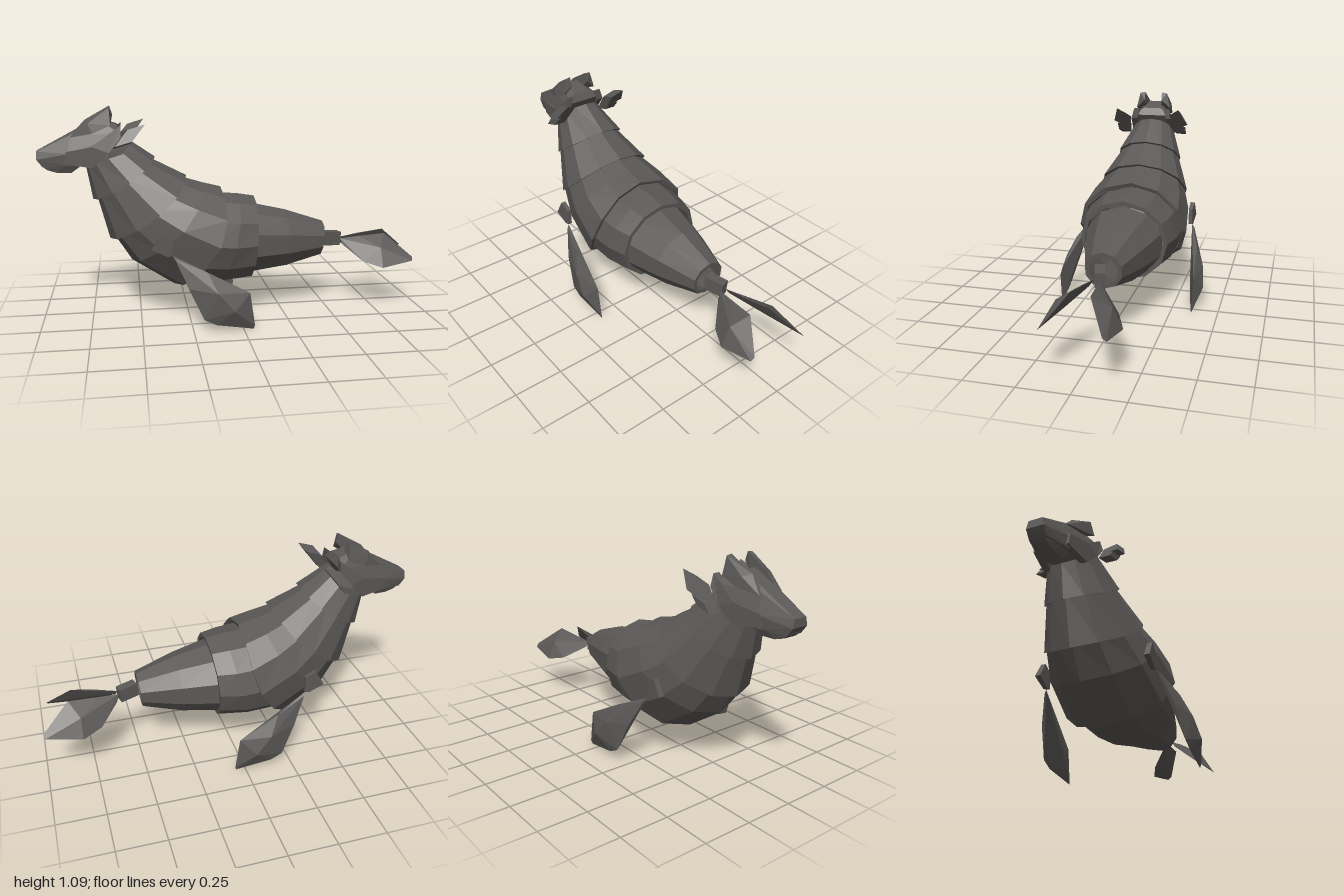
import * as THREE from 'three';
import { ConvexGeometry } from 'three/addons/geometries/ConvexGeometry.js';

const grey = new THREE.MeshStandardMaterial({ color: 0x5b5957, flatShading: true, side: THREE.DoubleSide });
grey.name = 'gunmetalGrey';

function add(parent, name, geometry) {
  const mesh = new THREE.Mesh(geometry, grey);
  mesh.name = name;
  parent.add(mesh);
  return mesh;
}

// Solid hull from [x, y, z] points; s flips it to the other side
function hull(points, s = 1) {
  return new ConvexGeometry(points.map(([x, y, z]) => new THREE.Vector3(x, y, z * s)));
}

// Hull of points repeated on both sides of the centre plane
const symmetricHull = pts => hull([...pts, ...pts.map(([x, y, z]) => [x, y, -z])]);

// Hollow armour band: sections are [topX, topY, bottomX, bottomY, halfWidth, bow]
function band(sections, sides, wall = 0.022) {
  const inner = sections.map(([tx, ty, bx, by, w, bow]) => {
    const k = wall / Math.hypot(tx - bx, ty - by);
    return [tx + (bx - tx) * k, ty + (by - ty) * k, bx + (tx - bx) * k, by + (ty - by) * k, w - wall, bow];
  }).reverse();
  const rings = [...sections, ...inner];
  const pos = [], index = [];
  for (const [tx, ty, bx, by, w, bow = 0] of rings) {
    for (let j = 0; j < sides; j++) {
      const a = j / sides * Math.PI * 2, c = Math.cos(a), s = Math.sin(a);
      pos.push((tx + bx) / 2 + c * (tx - bx) / 2 + bow * s * s, (ty + by) / 2 + c * (ty - by) / 2, s * w);
    }
  }
  for (let i = 0; i < rings.length; i++) {
    const n = (i + 1) % rings.length;
    for (let j = 0; j < sides; j++) {
      const k = (j + 1) % sides;
      const a = i * sides + j, b = i * sides + k, c = n * sides + j, d = n * sides + k;
      index.push(a, b, c, b, d, c);
    }
  }
  const g = new THREE.BufferGeometry();
  g.setAttribute('position', new THREE.Float32BufferAttribute(pos, 3));
  g.setIndex(index);
  const flat = g.toNonIndexed();
  flat.computeVertexNormals();
  return flat;
}

// Extruded outline whose corners are then moved by a rule
function plate(outline, depth, rule) {
  const shape = new THREE.Shape(outline.map(p => new THREE.Vector2(...p)));
  const g = new THREE.ExtrudeGeometry(shape, { depth, bevelEnabled: false });
  const p = g.attributes.position;
  for (let i = 0; i < p.count; i++) p.setXYZ(i, ...rule(p.getX(i), p.getY(i), p.getZ(i)));
  g.computeVertexNormals();
  return g;
}

// Mirror a geometry across z and restore its winding
function mirrorZ(g) {
  const m = g.clone().scale(1, 1, -1);
  const p = m.attributes.position, v = new THREE.Vector3(), u = new THREE.Vector3();
  for (let i = 0; i < p.count; i += 3) {
    v.fromBufferAttribute(p, i + 1);
    u.fromBufferAttribute(p, i + 2);
    p.setXYZ(i + 1, u.x, u.y, u.z);
    p.setXYZ(i + 2, v.x, v.y, v.z);
  }
  m.computeVertexNormals();
  return m;
}

export function createModel() {
  const model = new THREE.Group();
  model.name = 'armouredSeal';

  // Overlapping body bands from neck to tail
  const body = new THREE.Group();
  body.name = 'body';
  model.add(body);
  add(body, 'neckBand', band([
    [-0.57, 0.94, -0.76, 0.79, 0.118], [-0.41, 0.83, -0.73, 0.615, 0.185, 0.03]], 12));
  add(body, 'shoulderBand', band([
    [-0.45, 0.832, -0.715, 0.655, 0.162, 0.01], [-0.25, 0.73, -0.65, 0.405, 0.25, 0.05]], 12));
  add(body, 'chestBand', band([
    [-0.30, 0.73, -0.645, 0.45, 0.222, 0.02],
    [-0.17, 0.69, -0.54, 0.285, 0.28, 0.07],
    [-0.07, 0.665, -0.32, 0.142, 0.30, 0.09]], 12));
  add(body, 'waistBand', band([
    [-0.10, 0.635, -0.30, 0.17, 0.272, 0.07],
    [0.02, 0.625, -0.10, 0.155, 0.262, 0.02],
    [0.11, 0.61, 0.08, 0.17, 0.235]], 12));
  add(body, 'tailBand', band([
    [0.08, 0.575, 0.065, 0.19, 0.213],
    [0.28, 0.53, 0.27, 0.215, 0.16],
    [0.49, 0.46, 0.47, 0.27, 0.095]], 10));

  // Head
  const head = new THREE.Group();
  head.name = 'head';
  model.add(head);
  add(head, 'skull', symmetricHull([
    [-1.0, 0.87, 0.035], [-1.0, 0.83, 0.045], [-0.97, 0.79, 0.045],
    [-0.83, 0.95, 0.055], [-0.84, 0.86, 0.085], [-0.84, 0.80, 0.08],
    [-0.70, 1.03, 0.035], [-0.60, 1.0, 0.05], [-0.58, 0.96, 0.108],
    [-0.63, 0.88, 0.12], [-0.74, 0.82, 0.1]]));
  add(head, 'jaw', symmetricHull([
    [-0.98, 0.80, 0.035], [-0.95, 0.775, 0.035], [-0.90, 0.76, 0.04], [-0.83, 0.76, 0.045],
    [-0.79, 0.79, 0.06], [-0.85, 0.82, 0.07]]));

  const cheek = plate(
    [[-0.86, 0.81], [-0.72, 0.79], [-0.64, 0.865], [-0.58, 0.94], [-0.58, 1.0], [-0.72, 0.895], [-0.85, 0.87]],
    0.035, (x, y, z) => [x, y, z + 0.055 + (x + 0.86) * 0.16 - Math.max(0, y - 0.9) * 0.3]);

  // Stepped fin behind the cheek, set further back as it rises
  const rightFin = plate(
    [[0.14, 0.862], [0.197, 0.862], [0.197, 0.905], [0.175, 0.91], [0.213, 0.925], [0.18, 1.005], [0.125, 0.97]],
    0.085, (w, y, d) => [-0.66 + (y - 0.862) * 0.8 + d, y - 0.02 + d * 0.3, -w]);

  for (const s of [1, -1]) {
    const side = s > 0 ? 'left' : 'right';
    add(head, side + 'Cheek', s > 0 ? cheek : mirrorZ(cheek));
    add(head, side + 'HeadFin', s > 0 ? mirrorZ(rightFin) : rightFin);
    add(head, side + 'Ear', hull([
      [-0.83, 0.945, 0.04], [-0.83, 0.94, 0.07], [-0.76, 1.02, 0.045], [-0.74, 1.01, 0.09],
      [-0.635, 1.09, 0.05], [-0.635, 1.085, 0.08], [-0.62, 1.045, 0.05], [-0.63, 1.0, 0.1],
      [-0.68, 0.98, 0.04], [-0.72, 0.96, 0.1]], s));

    // Front flipper with its shoulder mount
    const front = new THREE.Group();
    front.name = side + 'FrontFlipper';
    model.add(front);
    const mount = [[-0.445, 0.41], [-0.40, 0.49], [-0.345, 0.46], [-0.345, 0.375], [-0.37, 0.37]];
    add(front, 'shoulderMount', hull(
      mount.flatMap(([x, y]) => [[x, y, 0.274], [x, y, 0.295 - (x + 0.345) * 0.08]]), s));
    add(front, 'paddle', hull([
      [-0.345, 0.375, 0.295], [-0.335, 0.36, 0.31], [-0.18, 0.30, 0.350], [0.03, 0.19, 0.365],
      [0.055, 0.02, 0.365], [0.05, 0.0, 0.36], [-0.14, 0.035, 0.375], [-0.20, 0.065, 0.375],
      [-0.27, 0.22, 0.355], [-0.13, 0.20, 0.395], [-0.05, 0.11, 0.408],
      [-0.05, 0.13, 0.335], [-0.02, 0.06, 0.342]], s));

    // Rear flipper: a slanted leaf with a ridge, the left one slightly shorter
    const length = s > 0 ? 0.92 : 1.01;
    const leaf = [
      [0, 0.36, 0.015], [0.01, 0.33, 0.035], [0.11, 0.375, 0.035], [0.11, 0.255, 0.135],
      [0.26, 0.39, 0.05], [0.21, 0.23, 0.18], [0.40, 0.275, 0.14], [0.395, 0.257, 0.158],
      [0.21, 0.33, 0.133], [0.21, 0.293, 0.096]];
    add(model, side + 'RearFlipper', hull(leaf.map(([x, y, z]) => [0.59 + x * length, y, z]), s));
  }

  // Link between tail and rear flippers
  const link = add(model, 'tailLink', new THREE.BoxGeometry(0.1, 0.075, 0.05));
  link.position.set(0.54, 0.362, 0);
  link.rotation.set(0, 0.3, -0.1);
  return model;
}
